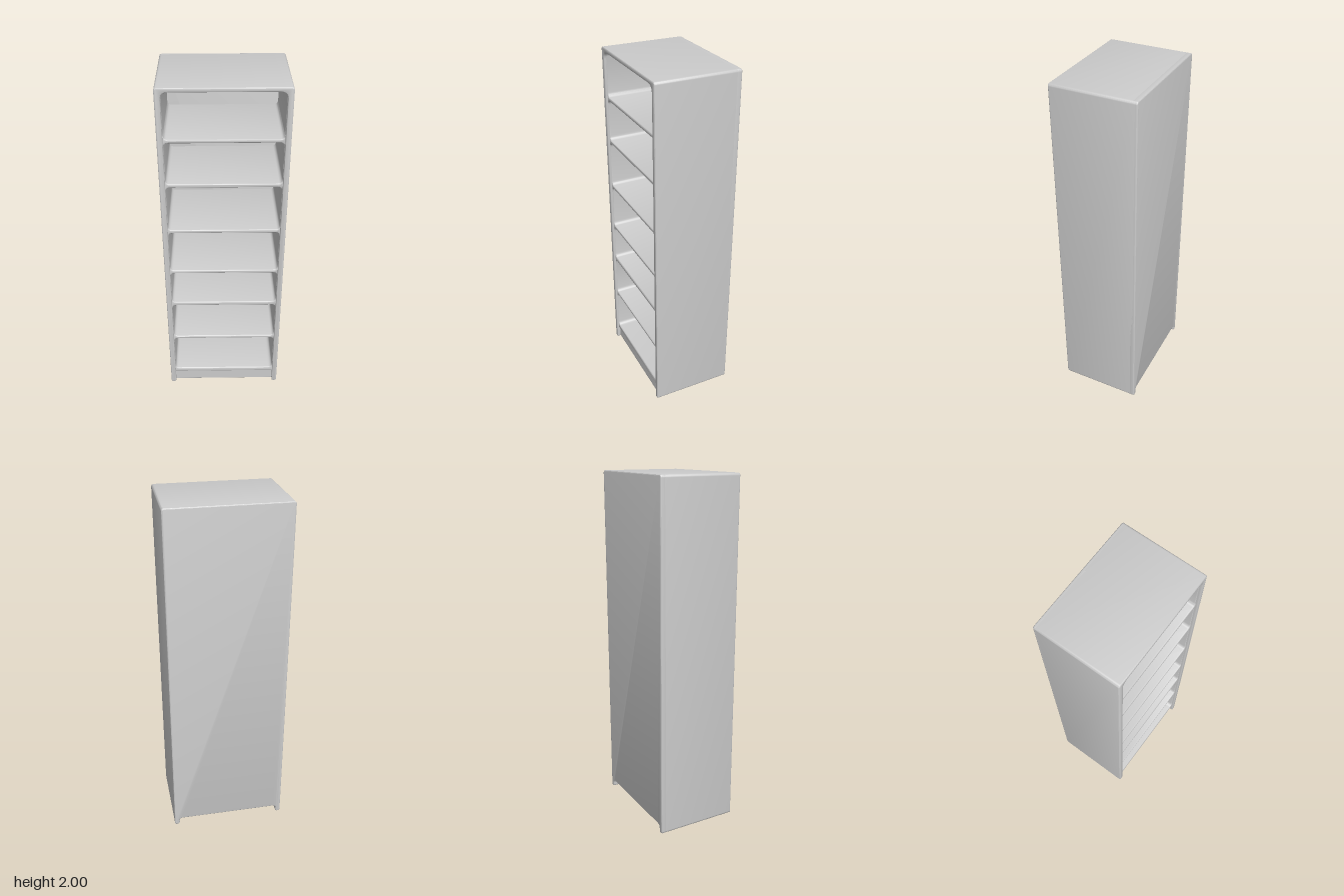
import * as THREE from 'three';
import { toCreasedNormals } from 'three/addons/utils/BufferGeometryUtils.js';
import { RoundedBoxGeometry } from 'three/addons/geometries/RoundedBoxGeometry.js';

const W = 0.337, H = 2, D = 0.238; // half width, height, half depth
const INNER = 0.307;               // half width between the side panels
const material = new THREE.MeshStandardMaterial({ color: 0xcccccc });

// Closed outline from [x, y, radius] corners, each corner rounded
function rounded(points, Type = THREE.Shape) {
  const path = new Type();
  const n = points.length;
  points.forEach(([x, y, r], i) => {
    const toward = ([px, py]) => new THREE.Vector2(px - x, py - y).setLength(r).add(new THREE.Vector2(x, y));
    const a = toward(points[(i + n - 1) % n]);
    const b = toward(points[(i + 1) % n]);
    if (i === 0) path.moveTo(a.x, a.y); else path.lineTo(a.x, a.y);
    path.quadraticCurveTo(x, y, b.x, b.y);
  });
  path.closePath();
  return path;
}

const rect = (w, y0, y1, r, Type) => rounded([[-w, y0, r], [w, y0, r], [w, y1, r], [-w, y1, r]], Type);

// Outer outline open at the bottom, up to the given inner height
const archOutline = (innerTop, r) => rounded([
  [-W, 0, 0.013], [-INNER, 0, 0.013], [-INNER, innerTop, r], [INNER, innerTop, r],
  [INNER, 0, 0.013], [W, 0, 0.013], [W, H, 0.015], [-W, H, 0.015],
]);

// Extrude a shape from z0 to z1 with soft edges that stay inside the outline
// (the bevel must be smaller than the corner radii)
function slab(name, shape, z0, z1, bevel) {
  const geometry = new THREE.ExtrudeGeometry(shape, {
    depth: z1 - z0 - 2 * bevel, curveSegments: 5,
    bevelThickness: bevel, bevelSize: bevel, bevelOffset: -bevel, bevelSegments: 3,
  });
  geometry.translate(0, 0, z0 + bevel);
  const mesh = new THREE.Mesh(toCreasedNormals(geometry, 0.7), material);
  mesh.name = name;
  return mesh;
}

// Soft-edged board filling the space between the given heights and depths
function board(name, width, y0, y1, z0, z1) {
  const mesh = new THREE.Mesh(new RoundedBoxGeometry(width, y1 - y0, z1 - z0, 3, 0.007), material);
  mesh.name = name;
  mesh.position.set(0, (y0 + y1) / 2, (z0 + z1) / 2);
  return mesh;
}

export function createModel() {
  const group = new THREE.Group();
  group.name = 'bookcase';

  // Side panels and top as one arch
  group.add(slab('sidesAndTop', archOutline(1.977, 0.04), -D + 0.008, D, 0.006));

  // Back panel, with a low cutout between the feet
  group.add(slab('backPanel', archOutline(0.045, 0.02), -D, -0.205, 0.006));

  // Shelves, with rounded corners where they meet the sides
  const openings = [
    [0.11, 0.368], [0.388, 0.635], [0.66, 0.876], [0.896, 1.155],
    [1.175, 1.444], [1.465, 1.702], [1.722, 1.975],
  ];
  const shelves = rect(0.32, 0.08, 1.988, 0.015);
  for (const [y0, y1] of openings) shelves.holes.push(rect(0.305, y0, y1, 0.025, THREE.Path));
  group.add(slab('shelves', shelves, -0.216, 0.226, 0.006));

  // Base under the lowest shelf and the plinth in front of it
  group.add(board('base', 0.63, 0.045, 0.1, -0.225, 0.205));
  group.add(board('plinth', 0.63, 0.005, 0.1, 0.188, 0.218));

  return group;
}
